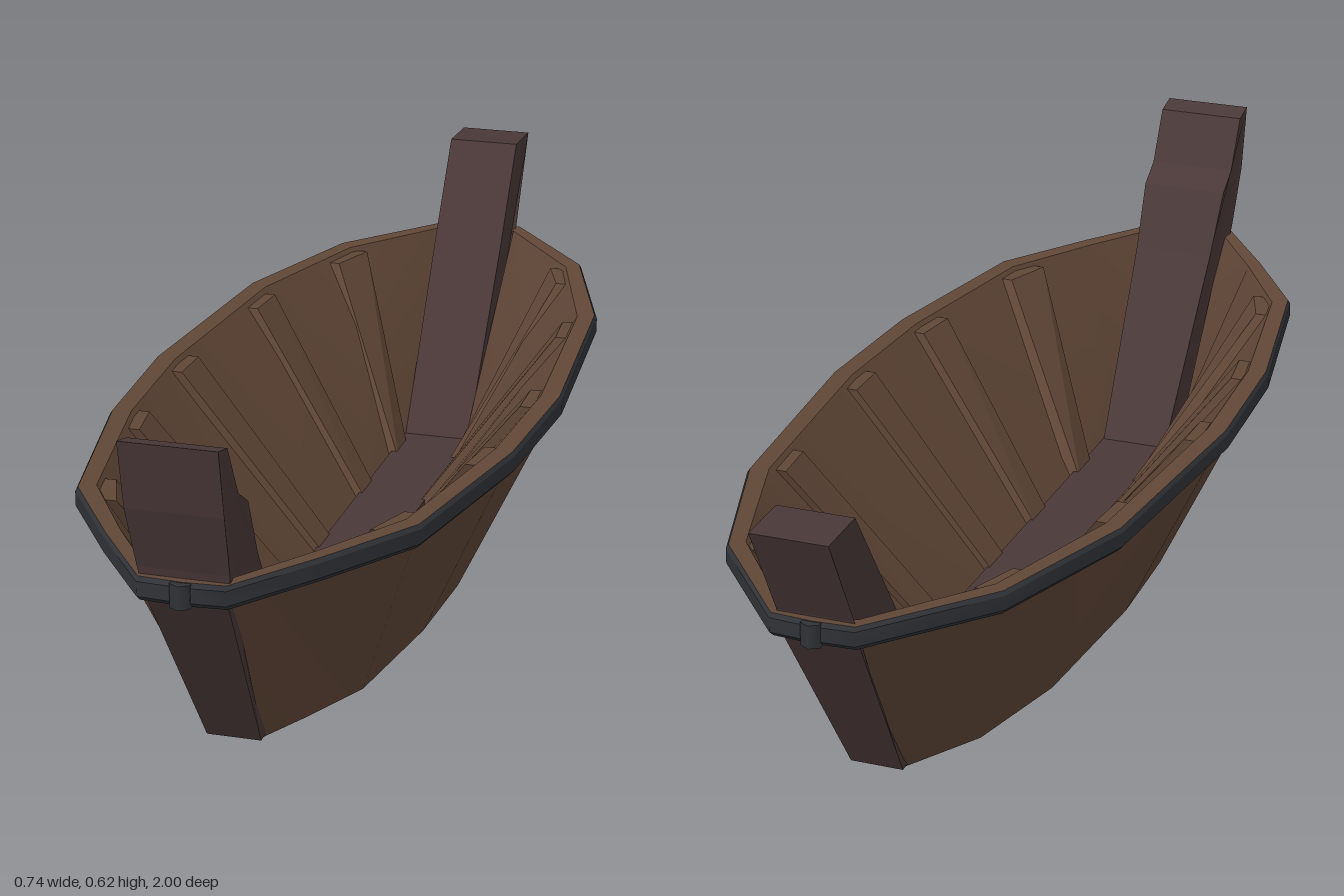
import * as THREE from 'three';

const lerp = THREE.MathUtils.lerp;

// Half outline of the rim, bow to stern, as [x, z]
const outline = [[0.072, 0.95], [0.18, 0.80], [0.29, 0.63], [0.357, 0.28], [0.372, 0],
  [0.335, -0.44], [0.24, -0.725], [0.072, -0.925]];
const rimPath = [[0, 0.955], ...outline, [0, -0.93]];

// Half width of the rim at a given z
function widthAt(z) {
  for (let i = 0; i < outline.length - 1; i++) {
    const [x0, z0] = outline[i], [x1, z1] = outline[i + 1];
    if (z <= z0 && z >= z1) return lerp(x0, x1, (z0 - z) / (z0 - z1));
  }
  return 0.072;
}

// Bands between successive rings; a ring maps [x, z] to [x, y, z]. side = 1 or -1
function loft(path, rings, side) {
  const pos = [], idx = [], n = path.length;
  for (let r = 0; r < rings.length - 1; r++) {
    const base = pos.length / 3;
    for (const ring of [rings[r], rings[r + 1]])
      for (const [px, pz] of path) {
        const [x, y, z] = ring(px, pz);
        pos.push(side * x, y, z);
      }
    for (let i = 0; i < n - 1; i++) {
      const a = base + i, b = a + 1, c = a + n, d = c + 1;
      if (side > 0) idx.push(a, b, c, b, d, c);
      else idx.push(a, c, b, b, c, d);
    }
  }
  const g = new THREE.BufferGeometry();
  g.setAttribute('position', new THREE.Float32BufferAttribute(pos, 3));
  g.setIndex(idx);
  g.computeVertexNormals();
  return g;
}

const ring = (sx, sz, y) => (x, z) => [x * sx, y, z * sz];

// Side profile [z, y] extruded across the boat, width set by a rule
function post(profile, halfWidth) {
  const shape = new THREE.Shape(profile.map(([z, y]) => new THREE.Vector2(z, y)));
  const g = new THREE.ExtrudeGeometry(shape, { depth: 1, bevelEnabled: false });
  const p = g.attributes.position;
  for (let i = 0; i < p.count; i++) {
    const z = p.getX(i), y = p.getY(i), s = p.getZ(i) > 0.5 ? -1 : 1;
    const low = y < 0.1 && Math.abs(z) < 0.65;
    p.setXYZ(i, s * (low ? 0.062 : halfWidth(y)), y, z);
  }
  g.computeVertexNormals();
  return g;
}

// Raised rib leaning along the inner wall
function rib(zc, half, side) {
  const g = new THREE.BoxGeometry(1, 1, 1);
  const p = g.attributes.position;
  for (let i = 0; i < p.count; i++) {
    const t = p.getY(i) + 0.5;
    const zo = zc + 2 * half * p.getZ(i);
    const inward = side * p.getX(i) < 0;
    const x = lerp(0.07, widthAt(zo) * 0.9, t) + (inward ? -0.025 : 0.005);
    p.setXYZ(i, side * x, lerp(0.04, 0.368, t), zo * lerp(0.7, 0.965, t));
  }
  const flat = g.toNonIndexed();
  flat.computeVertexNormals();
  return flat;
}

export function createModel() {
  const group = new THREE.Group();
  const material = (name, color) => {
    const m = new THREE.MeshStandardMaterial({ color });
    m.name = name;
    return m;
  };
  const wood = material('brown planks', 0x614737);
  const darkWood = material('dark timber', 0x4a3838);
  const iron = material('black rim', 0x313338);
  const add = (name, geometry, mat) => {
    const m = new THREE.Mesh(geometry, mat);
    m.name = name;
    group.add(m);
    return m;
  };

  for (const side of [1, -1]) {
    const label = side > 0 ? 'left' : 'right';
    // Outer planking
    add(label + 'Hull', loft(outline, [ring(0.51, 0.737, 0), ring(0.945, 0.965, 0.337)], side), wood);
    // Inner wall sloping down to the keelson
    add(label + 'InnerWall', loft(outline,
      [ring(0.9, 0.965, 0.376), (x, z) => [0.062, 0.04, z * 0.7]], side), wood);
    // Dark band around the edge and the brown cap on top
    add(label + 'Rim', loft(rimPath, [ring(0.94, 0.962, 0.335), ring(0.975, 0.988, 0.335),
      ring(1, 1, 0.345), ring(1, 1, 0.37), ring(0.988, 0.994, 0.377)], side), iron);
    add(label + 'Gunwale', loft(rimPath, [ring(0.988, 0.994, 0.377), ring(0.9, 0.965, 0.376)], side), wood);
    // Ribs
    for (const z of [0.625, 0.3, 0, -0.38, -0.69])
      add(label + 'Rib', rib(z, 0.045, side), wood);
  }

  // Flat bottom
  const corners = [...outline, ...outline.slice().reverse().map(([x, z]) => [-x, z])];
  const bottom = new THREE.ShapeGeometry(new THREE.Shape(
    corners.map(([x, z]) => new THREE.Vector2(x * 0.51, z * 0.737))));
  bottom.rotateX(Math.PI / 2);
  add('bottom', bottom, wood);

  // Keelson along the floor
  const keelson = add('keelson', new THREE.BoxGeometry(0.126, 0.03, 1.24), darkWood);
  keelson.position.y = 0.042;

  // Bow and stern posts
  add('bowPost', post([[0.5, 0.04], [0.703, 0.002], [0.924, 0.335], [0.937, 0.39], [0.975, 0.5],
    [1, 0.617], [0.957, 0.607], [0.907, 0.515], [0.86, 0.485], [0.80, 0.375], [0.58, 0.057], [0.5, 0.055]],
  y => (y < 0.34 ? lerp(0.046, 0.067, y / 0.34) : y < 0.45 ? 0.075 : 0.08)), darkWood);
  add('sternPost', post([[-0.5, 0.04], [-0.685, 0.002], [-0.896, 0.335], [-0.91, 0.38], [-1, 0.548],
    [-0.9, 0.552], [-0.78, 0.375], [-0.56, 0.057], [-0.5, 0.055]],
  y => lerp(0.046, 0.066, Math.min(1, y / 0.34))), darkWood);

  // Small studs at both ends of the rim
  for (const z of [0.955, -0.93]) {
    const stud = add('rimStud', new THREE.CylinderGeometry(0.019, 0.019, 0.04, 6), iron);
    stud.position.set(0, 0.356, z - Math.sign(z) * 0.008);
  }
  return group;
}
